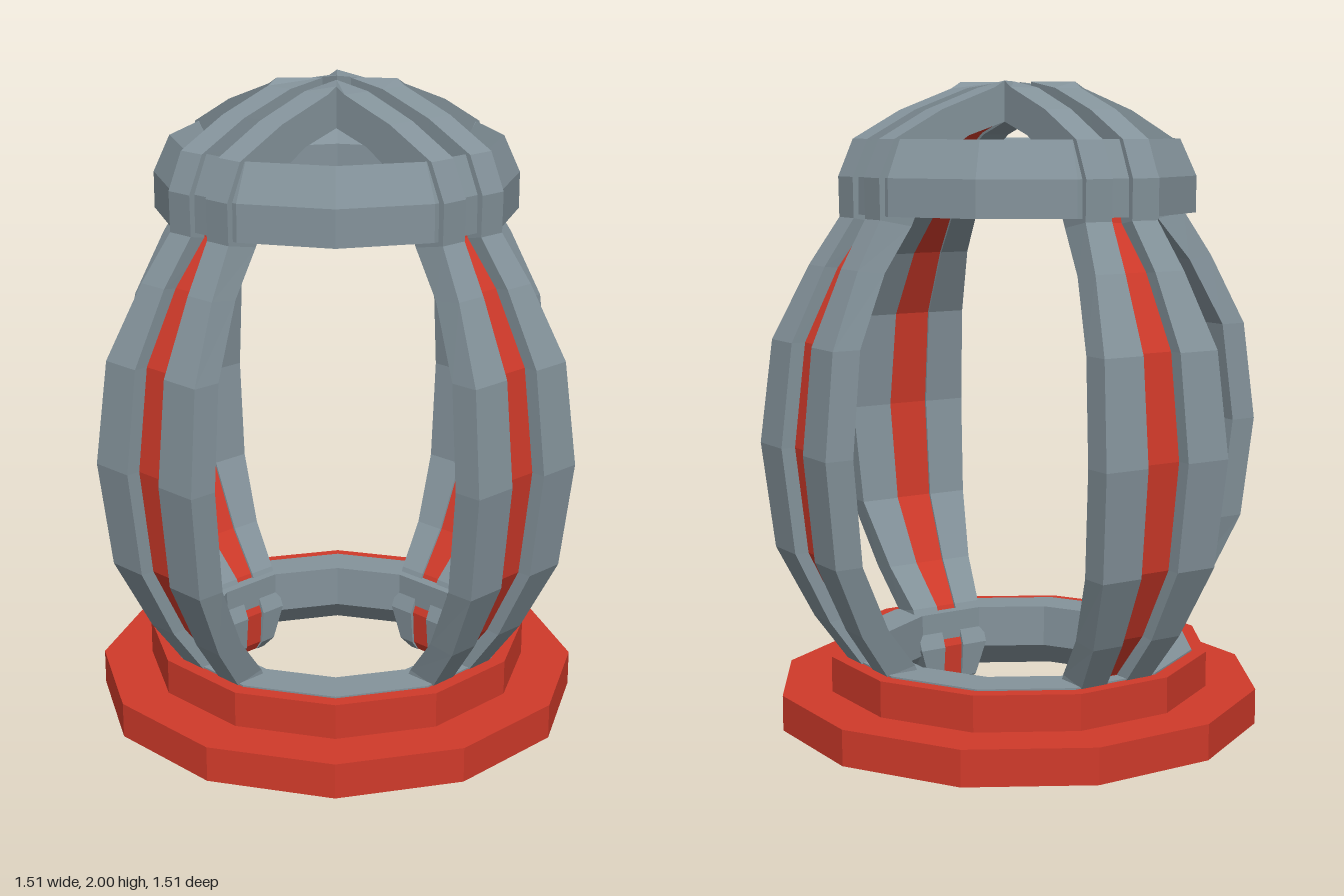
import * as THREE from 'three';

const grey = new THREE.MeshStandardMaterial({ color: 0xcccccc, flatShading: true });
const steel = grey.clone();
steel.color.set(0x84939b);
const red = grey.clone();
red.color.set(0xd03a2a);

// Rib stations: [outer radius, outer y, inner radius, inner y, half gap, half width]
const stations = [
  [0.47, 0.00, 0.42, 0.00, 0.03, 0.06],
  [0.49, 0.03, 0.40, 0.03, 0.035, 0.09],
  [0.53, 0.14, 0.39, 0.14, 0.035, 0.125],
  [0.54, 0.25, 0.445, 0.27, 0.035, 0.126],
  [0.637, 0.39, 0.55, 0.40, 0.052, 0.154],
  [0.742, 0.61, 0.655, 0.61, 0.064, 0.196],
  [0.778, 0.93, 0.69, 0.93, 0.07, 0.212],
  [0.742, 1.24, 0.655, 1.24, 0.064, 0.196],
  [0.637, 1.46, 0.55, 1.45, 0.052, 0.154],
  [0.548, 1.60, 0.445, 1.58, 0.035, 0.126],
  [0.55, 1.72, 0.39, 1.70, 0.035, 0.126],
  [0.50, 1.83, 0.36, 1.77, 0.035, 0.126],
  [0.34, 1.915, 0.25, 1.84, 0.033, 0.126],
  [0.16, 1.98, 0.12, 1.88, 0.03, 0.126],
  [0.00, 2.00, 0.00, 1.89, 0.03, 0.126],
];

// Joins four-cornered sections, listed bottom to top, into a closed bar
function sweep(sections) {
  const pos = sections.flat(2);
  const index = [];
  const n = sections.length;
  for (let i = 0; i < n - 1; i++) {
    for (let j = 0; j < 4; j++) {
      const a = i * 4 + j, b = i * 4 + (j + 1) % 4;
      index.push(a, b, b + 4, a, b + 4, a + 4);
    }
  }
  const e = (n - 1) * 4;
  index.push(0, 3, 2, 0, 2, 1, e, e + 1, e + 2, e, e + 2, e + 3);
  const g = new THREE.BufferGeometry();
  g.setAttribute('position', new THREE.Float32BufferAttribute(pos, 3));
  g.setIndex(index);
  g.computeVertexNormals();
  return g;
}

// Grey rail on one side of the gap, mitred where the four ribs meet
function railGeometry(side) {
  return sweep(stations.map(([ro, yo, ri, yi, gap, half]) => {
    const [a, b] = side > 0 ? [gap, half] : [-half, -gap];
    const corner = (t, r, y) => [t, y, Math.max(r, Math.abs(t))];
    return [corner(a, ro, yo), corner(b, ro, yo), corner(b, ri, yi), corner(a, ri, yi)];
  }));
}

// Recessed strip that fills the gap between the rails
function stripGeometry() {
  const mix = THREE.MathUtils.lerp;
  return sweep(stations.map(([ro, yo, ri, yi, gap]) => {
    const r0 = mix(ro, ri, 0.5), y0 = mix(yo, yi, 0.35);
    const r1 = mix(ro, ri, 0.92), y1 = mix(yo, yi, 0.92);
    return [[-gap, y0, r0], [gap, y0, r0], [gap, y1, r1], [-gap, y1, r1]];
  }));
}

// Twelve-sided ring from a closed profile of [radius, y]
function ring(name, profile, material) {
  const points = [...profile, profile[0]].map(([r, y]) => new THREE.Vector2(r, y));
  const mesh = new THREE.Mesh(new THREE.LatheGeometry(points, 12), material);
  mesh.name = name;
  return mesh;
}

export function createModel() {
  const model = new THREE.Group();
  model.name = 'cageLantern';

  // Stepped base, its lining and the collar under the dome
  model.add(
    ring('base', [[0.55, 0.03], [0.755, 0.03], [0.755, 0.14], [0.6, 0.14], [0.6, 0.25], [0.55, 0.25]], red),
    ring('baseLining', [[0.52, 0.035], [0.555, 0.035], [0.555, 0.255], [0.425, 0.255], [0.425, 0.12]], steel),
    ring('collar', [[0.42, 1.61], [0.55, 1.61], [0.55, 1.72], [0.5, 1.83], [0.42, 1.73]], steel),
  );

  // Four ribs on the diagonals
  const parts = [
    ['leftRail', railGeometry(1), steel],
    ['rightRail', railGeometry(-1), steel],
    ['strip', stripGeometry(), red],
  ];
  for (let k = 0; k < 4; k++) {
    const rib = new THREE.Group();
    rib.name = 'rib' + (k + 1);
    for (const [name, geometry, material] of parts) {
      const mesh = new THREE.Mesh(geometry, material);
      mesh.name = name;
      rib.add(mesh);
    }
    rib.rotation.y = Math.PI / 4 + k * Math.PI / 2;
    model.add(rib);
  }
  return model;
}
